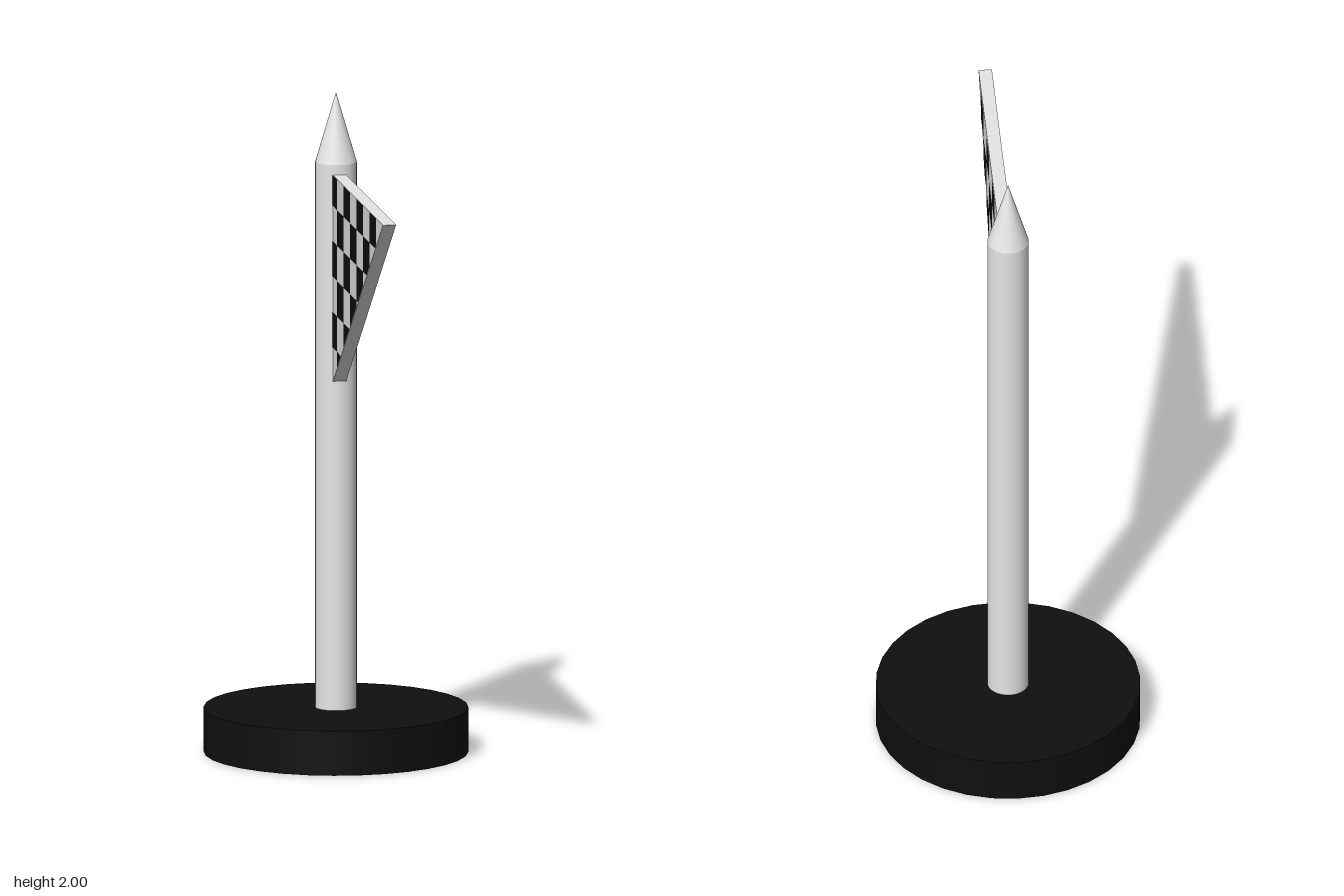
import * as THREE from 'three';

export function createModel() {
  const model = new THREE.Group();
  const white = new THREE.MeshStandardMaterial({ name: 'white', color: 0xe6e6e6 });
  const black = new THREE.MeshStandardMaterial({ name: 'black', color: 0x0f0f0f });
  const poleZ = -0.245, baseH = 0.135, poleTop = 1.79, poleR = 0.062;

  const add = (name, geometry, material, y = 0, z = 0) => {
    const mesh = new THREE.Mesh(geometry, material);
    mesh.name = name;
    mesh.position.set(0, y, z);
    model.add(mesh);
    return mesh;
  };

  // Round base, pole and pointed tip
  add('base', new THREE.CylinderGeometry(0.395, 0.395, baseH, 32), black, baseH / 2, poleZ);
  add('pole', new THREE.CylinderGeometry(poleR, poleR, poleTop - baseH, 32), white, (poleTop + baseH) / 2, poleZ);
  add('poleTip', new THREE.ConeGeometry(poleR, 2 - poleTop, 32), white, (2 + poleTop) / 2, poleZ);

  // Triangular flag, drawn with shape x running along world z
  const inner = -0.19, tip = 0.64, top = 1.76, bottom = 1.13, half = 0.02;
  const edgeY = (z) => bottom + (top - bottom) * (z - inner) / (tip - inner);
  const edgeZ = (y) => inner + (tip - inner) * (y - bottom) / (top - bottom);
  const polygon = (points) => new THREE.Shape(points.map(([z, y]) => new THREE.Vector2(z, y)));
  const flag = new THREE.ExtrudeGeometry(
    polygon([[inner, bottom], [tip, top], [inner, top]]),
    { depth: half * 2, bevelEnabled: false });
  flag.translate(0, 0, -half).rotateY(-Math.PI / 2);
  add('flag', flag, white);

  // Black checks, each a square cut off by the sloping edge
  const cell = 0.1077, firstRow = 0.092;
  const checks = [];
  for (let row = 0; row < 6; row++) {
    const y1 = row === 0 ? top : top - firstRow - (row - 1) * cell;
    const y0 = Math.max(bottom, top - firstRow - row * cell);
    for (let col = 0; col < 8; col++) {
      if ((row + col) % 2 === 0) continue;
      const z1 = tip - col * cell, z0 = Math.max(inner, z1 - cell);
      if (edgeY(z0) >= y1) continue;
      const points = [[z0, y1]];
      if (edgeY(z0) > y0) points.push([z0, edgeY(z0)]);
      else {
        points.push([z0, y0]);
        points.push([Math.min(z1, edgeZ(y0)), y0]);
      }
      if (edgeY(z1) > y0 && edgeY(z1) < y1) points.push([z1, edgeY(z1)]);
      points.push([Math.min(z1, edgeZ(y1)), y1]);
      checks.push(polygon(points));
    }
  }
  // One layer of checks on each face of the flag
  for (const side of [1, -1]) {
    const geometry = new THREE.ShapeGeometry(checks);
    if (side > 0) {
      // Turn the winding over so this layer faces +x
      const index = geometry.index.array;
      for (let i = 0; i < index.length; i += 3) [index[i], index[i + 1]] = [index[i + 1], index[i]];
      geometry.computeVertexNormals();
    }
    geometry.rotateY(-Math.PI / 2).translate(side * (half + 0.0015), 0, 0);
    add(side > 0 ? 'leftChecks' : 'rightChecks', geometry, black);
  }
  return model;
}
